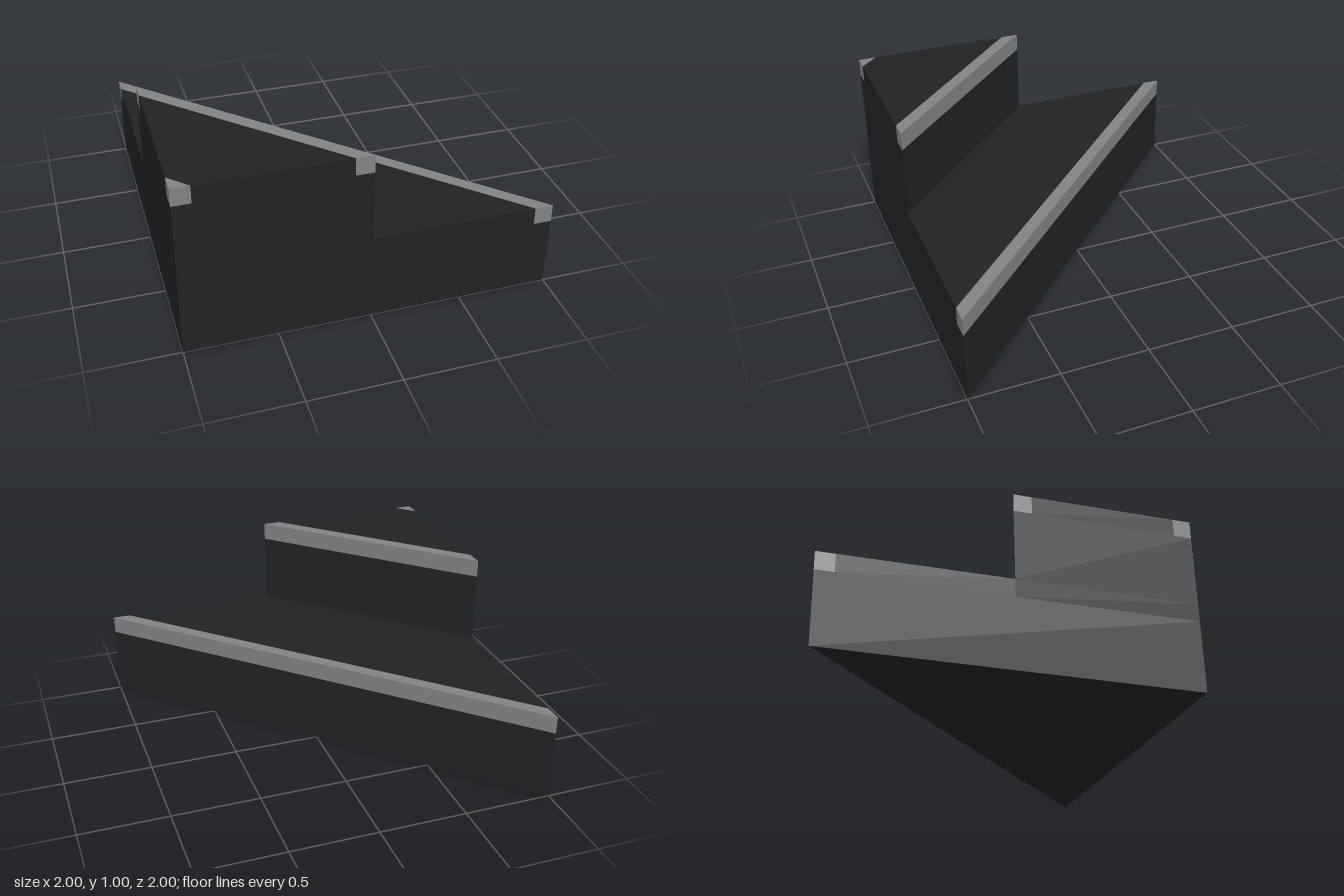
import * as THREE from 'three';

// Plan points at distance d from the square corner, along the front and along the side
const P = d => [-1 + d, 1];
const Q = d => [-1, 1 - d];

// Flat-sided mesh from quads, each counter-clockwise seen from outside
function quadMesh(name, material, quads) {
  const pos = quads.flatMap(([a, b, c, d]) => [a, b, c, a, c, d]).flat();
  const geo = new THREE.BufferGeometry();
  geo.setAttribute('position', new THREE.Float32BufferAttribute(pos, 3));
  geo.computeVertexNormals();
  const mesh = new THREE.Mesh(geo, material);
  mesh.name = name;
  return mesh;
}

const at = ([x, z], y) => [x, y, z];
const wall = (a, b, y0, y1) => [at(a, y0), at(b, y0), at(b, y1), at(a, y1)];

// Diagonal band of the stair between two distances from the corner
function band(name, material, inner, outer, y0, y1, { top = false, riser = false }) {
  const quads = [wall(P(inner), P(outer), y0, y1), wall(Q(outer), Q(inner), y0, y1)];
  if (riser) quads.push(wall(P(outer), Q(outer), y0, y1));
  if (top) quads.push([P(inner), P(outer), Q(outer), Q(inner)].map(p => at(p, y1)));
  return quadMesh(name, material, quads);
}

export function createModel() {
  const dark = new THREE.MeshStandardMaterial({ color: 0x222222 });
  dark.name = 'dark stone';
  const grey = new THREE.MeshStandardMaterial({ color: 0x828282 });
  grey.name = 'grey edging';

  const group = new THREE.Group();
  group.name = 'cornerStair';
  group.add(
    // Lower step
    band('lowerBody', dark, 0, 2, 0, 0.4, { riser: true }),
    band('lowerInnerWall', dark, 0, 1, 0.4, 0.5, {}),
    band('lowerTread', dark, 1, 1.9, 0.4, 0.5, { top: true }),
    band('lowerNosing', grey, 1.9, 2, 0.4, 0.5, { top: true, riser: true }),
    // Upper step
    band('upperBody', dark, 0, 1, 0.5, 0.9, { riser: true }),
    band('upperTread', dark, 0.1, 0.9, 0.9, 1, { top: true }),
    band('upperNosing', grey, 0.9, 1, 0.9, 1, { top: true, riser: true }),
    // Small edging at the square corner
    band('cornerEdging', grey, 0, 0.1, 0.9, 1, { top: true }),
    // Underside
    quadMesh('underside', dark, [[P(0), Q(2), P(2), P(0)].map(p => at(p, 0))])
  );
  return group;
}
